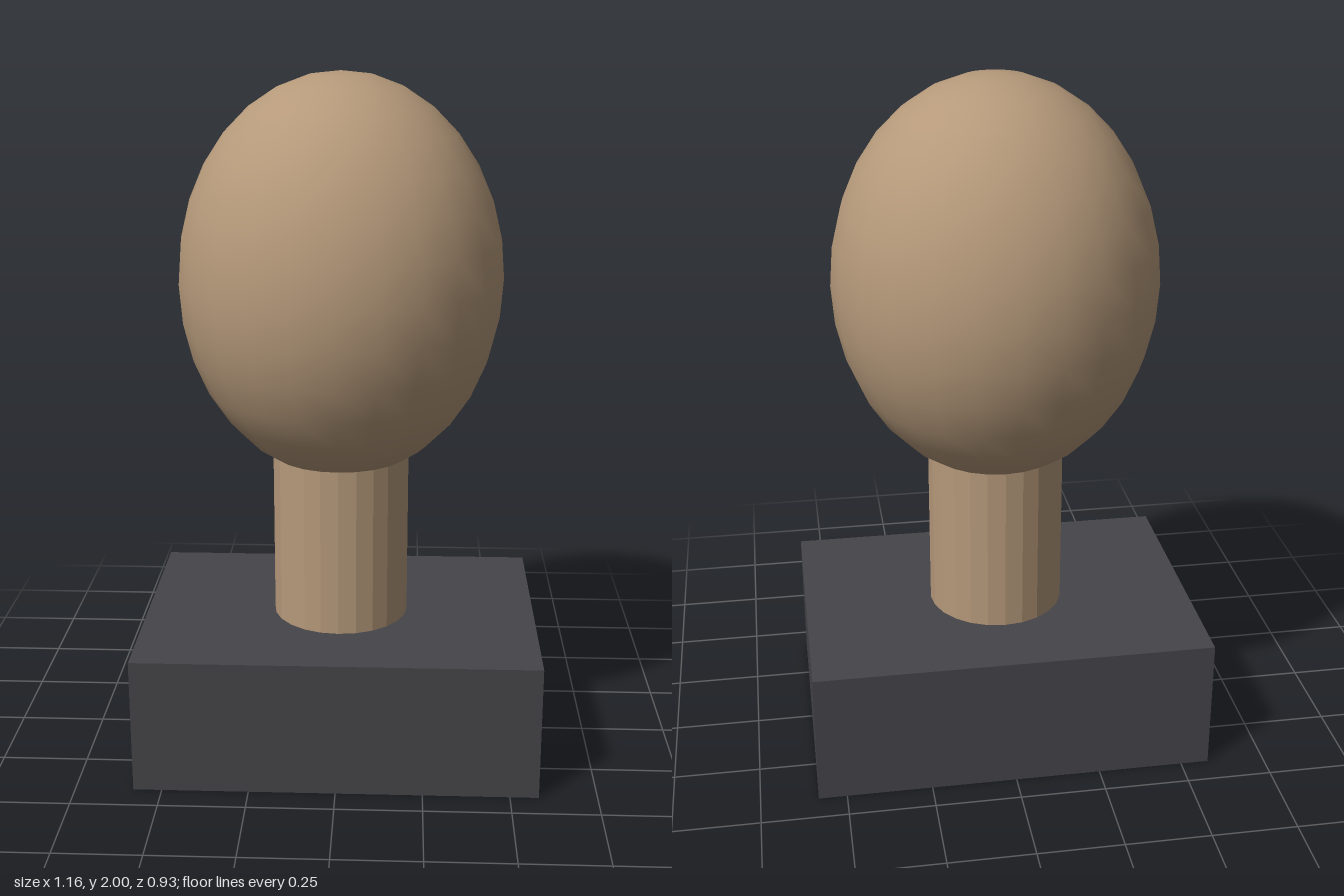
import * as THREE from 'three';

export function createModel() {
  const model = new THREE.Group();
  const tan = new THREE.MeshStandardMaterial({ color: 0xb5997a });
  tan.name = 'tan';
  const charcoal = new THREE.MeshStandardMaterial({ color: 0x454449 });
  charcoal.name = 'charcoal';

  const add = (name, geometry, material, y) => {
    const mesh = new THREE.Mesh(geometry, material);
    mesh.name = name;
    mesh.position.y = y;
    model.add(mesh);
  };

  // Rectangular plinth
  add('base', new THREE.BoxGeometry(1.165, 0.4, 0.832), charcoal, 0.2);

  // Faceted neck, reaching up into the head
  const neck = new THREE.CylinderGeometry(0.2, 0.2, 0.52, 24).toNonIndexed();
  neck.computeVertexNormals();
  add('neck', neck, tan, 0.65);

  // Smooth egg-shaped head
  const head = new THREE.SphereGeometry(1, 24, 16).scale(0.465, 0.58, 0.465);
  add('head', head, tan, 1.42);

  return model;
}
